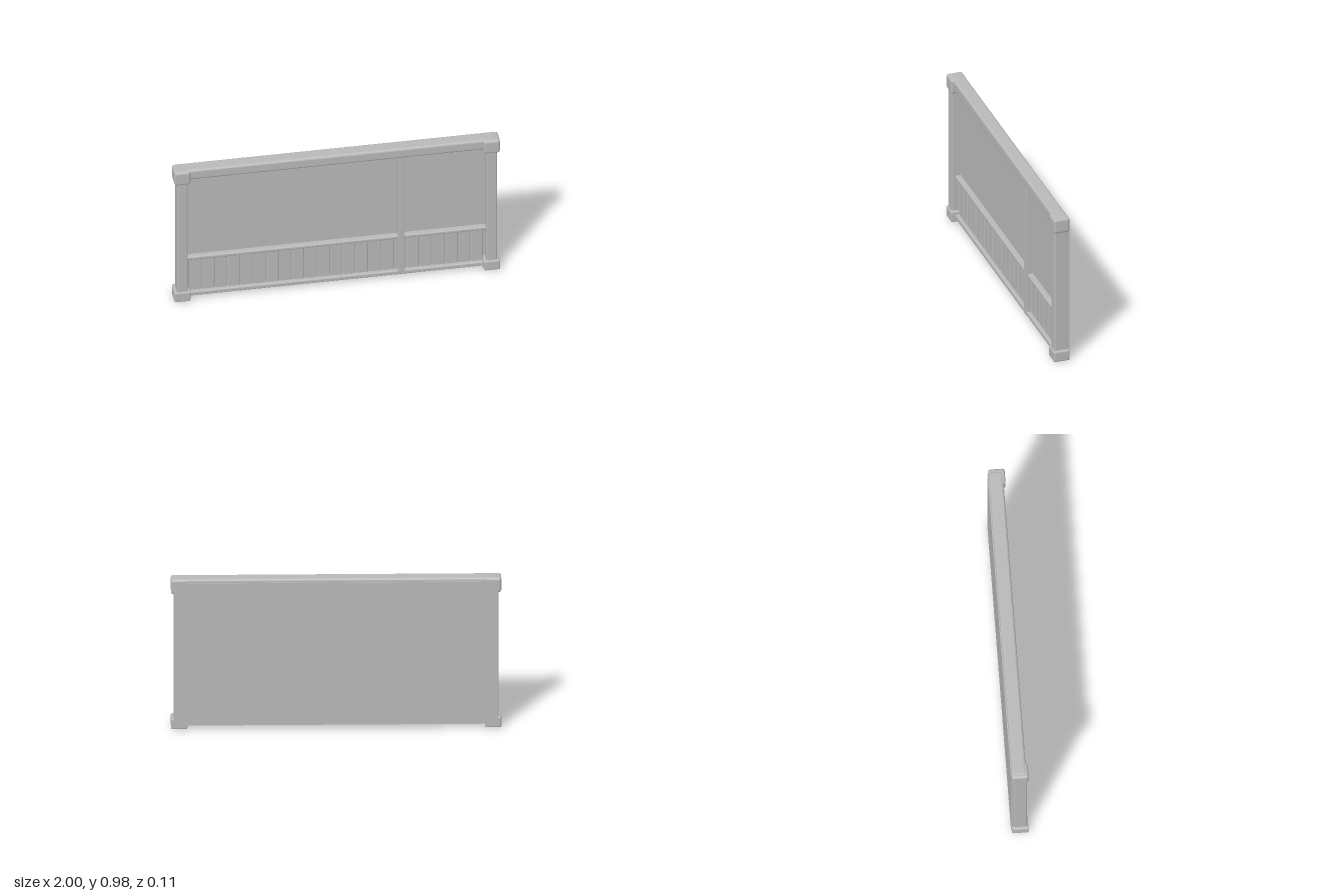
import * as THREE from 'three';
import { RoundedBoxGeometry } from 'three/addons/geometries/RoundedBoxGeometry.js';

export function createModel() {
  const model = new THREE.Group();
  model.name = 'wallPanel';
  const grey = new THREE.MeshStandardMaterial({ color: 0xb8b8b8 });
  grey.name = 'plain grey';

  // Box given by its limits on each axis, with optionally rounded edges
  function block(name, [x0, x1], [y0, y1], [z0, z1], radius = 0) {
    const size = [x1 - x0, y1 - y0, z1 - z0];
    const geometry = radius
      ? new RoundedBoxGeometry(...size, 3, radius)
      : new THREE.BoxGeometry(...size);
    const mesh = new THREE.Mesh(geometry, grey);
    mesh.name = name;
    mesh.position.set((x0 + x1) / 2, (y0 + y1) / 2, (z0 + z1) / 2);
    model.add(mesh);
  }

  // Thick wall sheet at the back
  block('backPanel', [-0.98, 0.98], [0.028, 0.955], [-0.053, -0.013]);

  // Top beam, running over the corner blocks
  block('topBeam', [-0.982, 0.982], [0.906, 0.978], [-0.047, 0.041], 0.016);

  // Side posts with a block at each end
  for (const side of [-1, 1]) {
    const name = side > 0 ? 'left' : 'right';
    const span = (a, b) => [Math.min(a * side, b * side), Math.max(a * side, b * side)];
    block(name + 'Post', span(0.917, 0.983), [0.03, 0.93], [-0.037, 0.045], 0.01);
    block(name + 'UpperBlock', span(0.9, 1), [0.88, 0.975], [-0.049, 0.053], 0.015);
    block(name + 'LowerBlock', span(0.9, 1), [0, 0.071], [-0.049, 0.053], 0.01);
  }

  // Slim upright and horizontal rails
  block('middlePost', [0.377, 0.417], [0.027, 0.925], [-0.03, 0.032], 0.005);
  block('middleRail', [-0.93, 0.93], [0.285, 0.309], [-0.03, 0.021], 0.008);
  block('bottomRail', [-0.93, 0.93], [0.02, 0.05], [-0.012, 0.026], 0.008);

  // Row of upright boards with narrow gaps
  const pitch = 0.0785;
  for (let i = 0; i < 24; i++) {
    const x = -0.976 + i * pitch;
    const x0 = Math.max(x, -0.93);
    const x1 = Math.min(x + pitch - 0.006, 0.93);
    block('board', [x0, x1], [0.04, 0.296], [-0.02, 0.004], 0.005);
  }

  return model;
}
